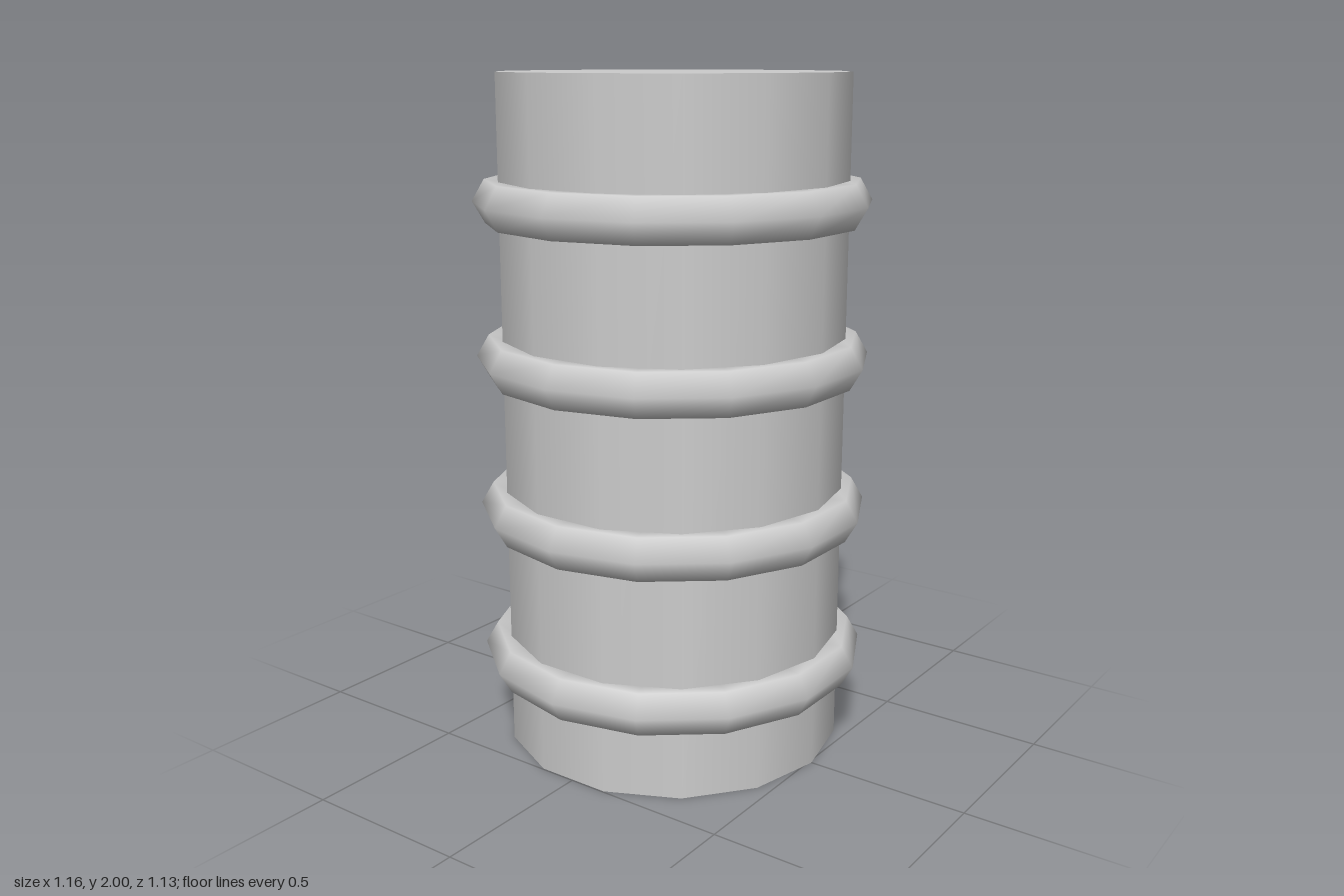
import * as THREE from 'three';

const RADIUS = 0.509, TUBE = 0.0727, SIDES = 14;

export function createModel() {
  const model = new THREE.Group();
  const grey = new THREE.MeshStandardMaterial({ color: 0xcccccc });
  grey.name = 'grey';

  // Solid drum with flat ends
  const body = new THREE.Mesh(new THREE.CylinderGeometry(RADIUS, RADIUS, 2, SIDES), grey);
  body.name = 'body';
  body.position.y = 1;
  model.add(body);

  // Four evenly spaced hoops, half sunk into the drum
  const hoopGeometry = new THREE.TorusGeometry(RADIUS, TUBE, 6, SIDES).rotateX(Math.PI / 2);
  for (let i = 0; i < 4; i++) {
    const hoop = new THREE.Mesh(hoopGeometry, grey);
    hoop.name = 'hoop' + (i + 1);
    hoop.position.y = 0.273 + i * 0.4545;
    model.add(hoop);
  }
  return model;
}
